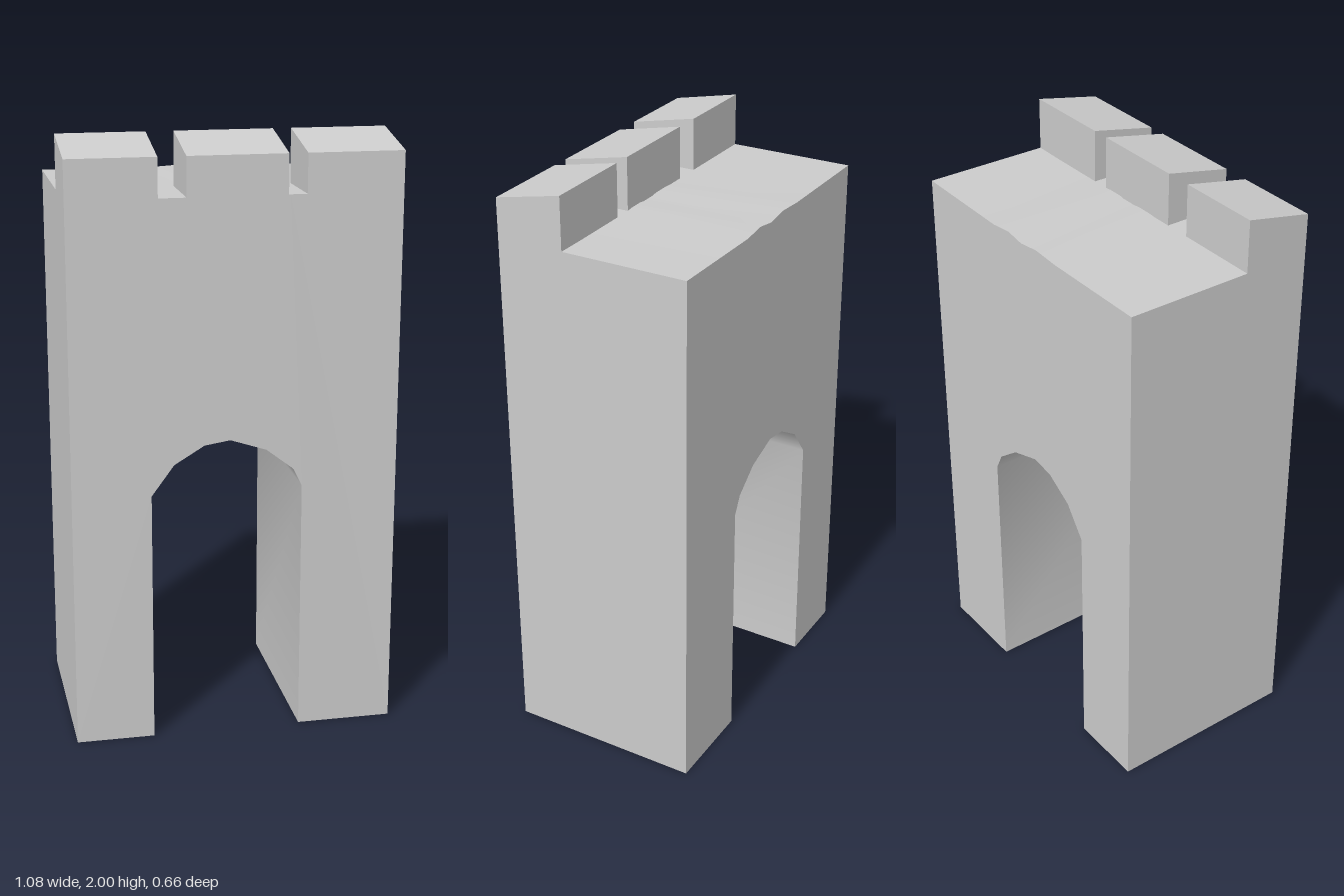
import * as THREE from 'three';
import { toCreasedNormals } from 'three/addons/utils/BufferGeometryUtils.js';

const HALF_W = 0.54, HALF_D = 0.33, ROOF = 1.822;

const shapeOf = (points) => new THREE.Shape(points.map(([x, y]) => new THREE.Vector2(x, y)));

export function createModel() {
  const group = new THREE.Group();
  const material = new THREE.MeshStandardMaterial({ color: 0xcccccc });

  // Gate block: two piers joined over an uneven arch
  const arch = [[0.22, 0], [0.22, 0.86], [0.19, 0.92], [0.1, 0.99], [-0.02, 1.03],
    [-0.105, 1.017], [-0.205, 0.957], [-0.28, 0.855], [-0.28, 0]];
  // Roof edge from right to left: x and rise of the slightly worn back edge
  const roof = [[HALF_W, 0.004], [0.17, -0.001], [0.09, 0.009], [0.02, -0.002],
    [-0.06, 0.009], [-0.16, 0.003], [-HALF_W, 0.004]];
  const outline = [
    [-HALF_W, 0], ...arch.slice().reverse(), [HALF_W, 0],
    ...roof.map(([x]) => [x, ROOF]),
  ];
  const block = new THREE.ExtrudeGeometry(shapeOf(outline), { depth: 2 * HALF_D, bevelEnabled: false });
  block.translate(0, 0, -HALF_D);

  // Lift the back roof edge into its gentle waves
  const pos = block.attributes.position;
  for (let i = 0; i < pos.count; i++) {
    if (pos.getZ(i) > 0 || pos.getY(i) < ROOF - 0.001) continue;
    const point = roof.find(([x]) => Math.abs(x - pos.getX(i)) < 0.001);
    if (point) pos.setY(i, ROOF + point[1]);
  }
  const gate = new THREE.Mesh(toCreasedNormals(block, 0.7), material);
  gate.name = 'archedGateBlock';
  group.add(gate);

  // Battlements with tops sloping down to the front
  const profile = shapeOf([[0.1, ROOF], [HALF_D, ROOF], [HALF_D, 1.95], [0.1, 2]]);
  const spans = [[-HALF_W, -0.25], [-0.16, 0.165], [0.225, HALF_W]];
  spans.forEach(([x0, x1], i) => {
    const geometry = new THREE.ExtrudeGeometry(profile, { depth: x1 - x0, bevelEnabled: false });
    geometry.rotateY(-Math.PI / 2);
    const merlon = new THREE.Mesh(geometry, material);
    merlon.position.x = x1;
    merlon.name = ['rightBattlement', 'middleBattlement', 'leftBattlement'][i];
    group.add(merlon);
  });

  return group;
}
